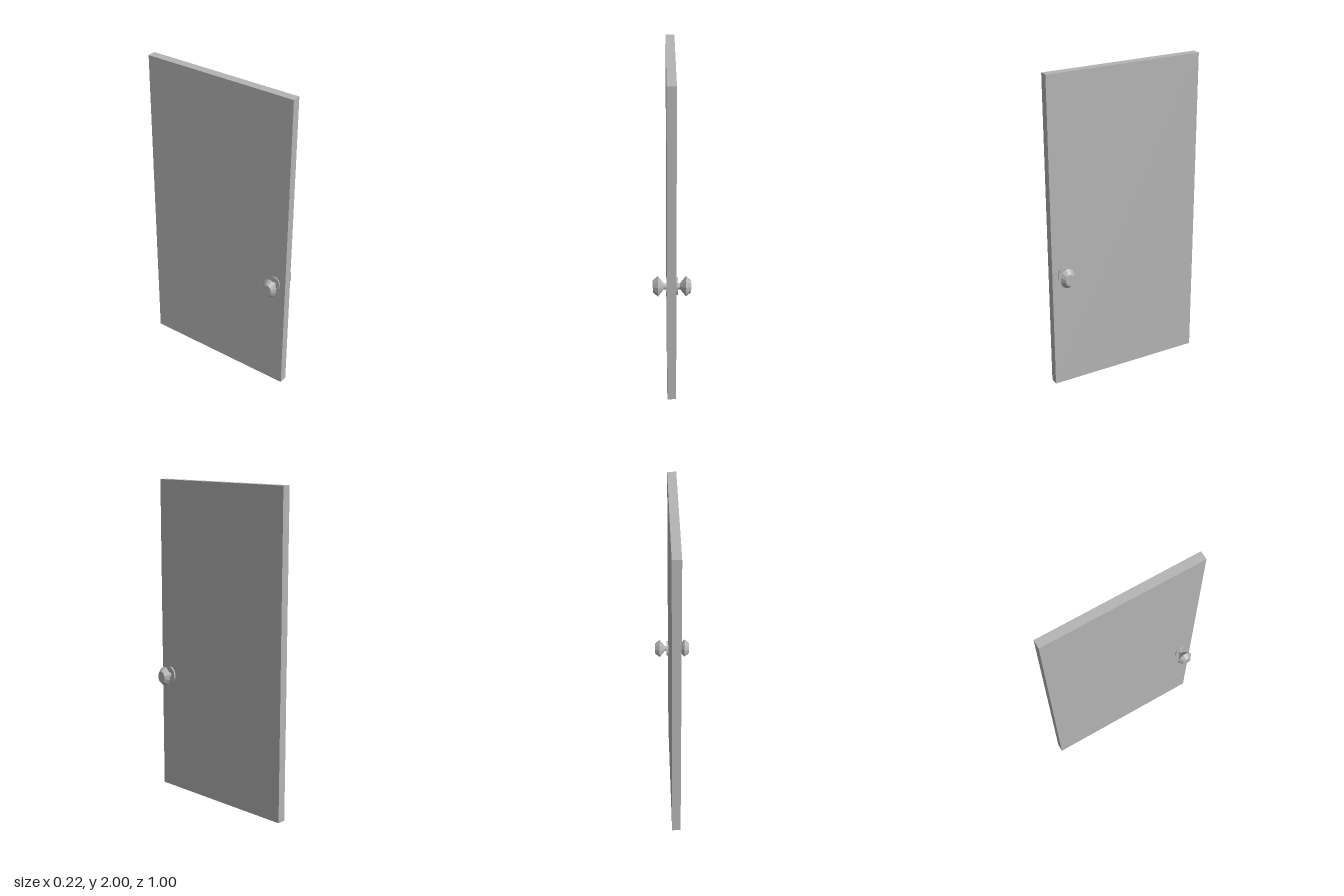
import * as THREE from 'three';

export function createModel() {
  const group = new THREE.Group();
  group.name = 'door';
  const grey = new THREE.MeshStandardMaterial({ color: 0xb4b4b4, flatShading: true });
  grey.name = 'plain grey';

  // Door slab
  const slab = new THREE.Mesh(new THREE.BoxGeometry(0.054, 2, 0.996), grey);
  slab.name = 'doorSlab';
  slab.position.set(-0.002, 1, 0);
  group.add(slab);

  // Turned knob profile: [radius, distance from the slab centre]
  const plate = [[0, 0.02], [0.041, 0.02], [0.041, 0.036], [0, 0.036]];
  const knob = [[0, 0.03], [0.0145, 0.03], [0.0145, 0.048], [0.049, 0.082], [0.029, 0.112], [0, 0.112]];
  const turn = (profile, name) => {
    const points = profile.map(([r, d]) => new THREE.Vector2(r, d));
    const mesh = new THREE.Mesh(new THREE.LatheGeometry(points, 12, Math.PI / 12), grey);
    mesh.name = name;
    return mesh;
  };

  // One oval knob with its backplate on each face of the door
  for (const side of [1, -1]) {
    const handle = new THREE.Group();
    handle.name = side > 0 ? 'leftHandle' : 'rightHandle';
    handle.add(turn(plate, 'backplate'), turn(knob, 'knob'));
    handle.rotation.z = -side * Math.PI / 2;
    handle.scale.x = 1.31; // taller than wide
    handle.position.set(0, 0.755, 0.422);
    group.add(handle);
  }
  return group;
}
